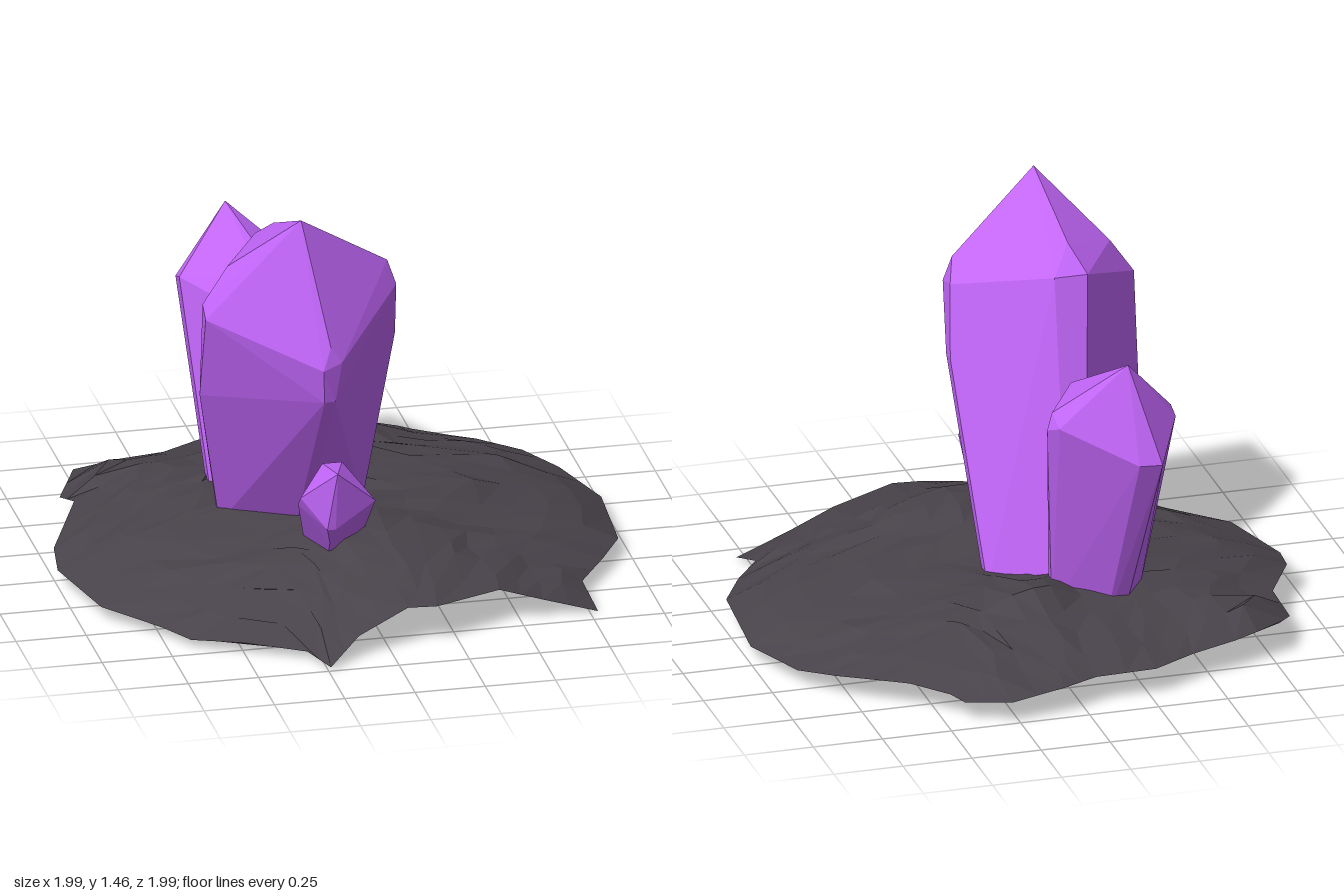
import * as THREE from 'three';
import { ConvexGeometry } from 'three/addons/geometries/ConvexGeometry.js';

const rockMaterial = new THREE.MeshStandardMaterial({ color: 0x48434a, flatShading: true, side: THREE.DoubleSide });
const crystalMaterial = new THREE.MeshStandardMaterial({ color: 0xc266fa, flatShading: true });

// A crystal is the convex hull of its base, waist, shoulder and tip corners
function crystal(name, corners) {
  const geometry = new ConvexGeometry(corners.map(p => new THREE.Vector3(...p)));
  const mesh = new THREE.Mesh(geometry, crystalMaterial);
  mesh.name = name;
  return mesh;
}

// Repeatable noise between -0.5 and 0.5
function noise(a, b) {
  const s = Math.sin(a * 127.1 + b * 311.7) * 43758.5453;
  return s - Math.floor(s) - 0.5;
}

// Ragged rim of the rock: x, z, height
const rim = [
  [0.99, -0.2, 0.05], [0.96, 0.2, 0.06], [0.87, 0.36, 0.06], [0.76, 0.52, 0.05],
  [0.78, 0.68, 0.0], [0.58, 0.7, 0.07], [0.42, 0.72, 0.13], [0.17, 0.84, 0.14], [0.07, 0.83, 0.14],
  [-0.12, 0.9, 0.08], [-0.24, 0.99, 0.01], [-0.3, 0.88, 0.03], [-0.5, 0.78, 0.04], [-0.67, 0.69, 0.03],
  [-0.75, 0.58, 0.04], [-0.92, 0.38, 0.05], [-1, 0.05, 0.06], [-0.98, -0.1, 0.08], [-0.84, -0.4, 0.12],
  [-0.86, -0.54, 0.08], [-0.78, -0.68, 0.12], [-0.6, -0.76, 0.11], [-0.43, -0.81, 0.1], [-0.27, -0.9, 0.1],
  [-0.05, -0.91, 0.1], [0.08, -0.97, 0.1], [0.28, -1, 0.08], [0.43, -0.93, 0.07], [0.5, -0.81, 0.09],
  [0.66, -0.71, 0.09], [0.8, -0.6, 0.08], [0.9, -0.47, 0.06],
];

// Local humps: x, z, height, radius
const humps = [
  [0.1, 0.36, 0.05, 0.22], [0.05, -0.46, 0.08, 0.13], [-0.71, -0.56, 0.06, 0.13],
  [-0.1, 0.52, 0.03, 0.25], [0, -0.15, -0.02, 0.15],
];

// Rim point at a fractional index
function rimAt(u) {
  const a = rim[Math.floor(u) % rim.length], b = rim[(Math.floor(u) + 1) % rim.length];
  return a.map((v, k) => THREE.MathUtils.lerp(v, b[k], u % 1));
}

// Position of a grid cell along the square ring m, from 0 to 8m
function ringPosition(i, j, m) {
  if (i === m) return (j + 8 * m) % (8 * m);
  if (j === m) return 2 * m - i;
  if (i === -m) return 4 * m - j;
  return 6 * m + i;
}

// Thin domed shell of rock: a square grid fitted to the rim
function rockBase() {
  const half = 8, side = 2 * half + 1, pos = [], index = [];
  for (let i = -half; i <= half; i++) {
    for (let j = -half; j <= half; j++) {
      const m = Math.max(Math.abs(i), Math.abs(j)), t = m / half;
      const [rx, rz, ry] = rimAt(m ? ringPosition(i, j, m) * rim.length / (8 * m) : 0);
      const jitter = m < half ? 1 : 0;
      const x = rx * t + jitter * noise(i, j) * 0.04;
      const z = rz * t + jitter * noise(i + 40, j) * 0.04;
      let y = ry + (0.22 - ry) * (1 - t ** 2.8) + jitter * noise(i + 80, j) * 0.022;
      for (const [hx, hz, h, s] of humps) {
        y += (1 - t ** 6) * h * Math.exp(-((x - hx) ** 2 + (z - hz) ** 2) / (s * s));
      }
      pos.push(x, y, z);
    }
  }
  for (let i = 0; i < side - 1; i++) {
    for (let j = 0; j < side - 1; j++) {
      const a = i * side + j, b = a + 1, c = a + side, d = c + 1;
      // Turn the diagonal so that corner cells do not collapse
      if ((i < half) === (j < half)) index.push(a, b, c, b, d, c);
      else index.push(a, b, d, a, d, c);
    }
  }
  const geometry = new THREE.BufferGeometry();
  geometry.setAttribute('position', new THREE.Float32BufferAttribute(pos, 3));
  geometry.setIndex(index);
  geometry.computeVertexNormals();
  const mesh = new THREE.Mesh(geometry, rockMaterial);
  mesh.name = 'rockBase';
  return mesh;
}

export function createModel() {
  const group = new THREE.Group();
  group.name = 'crystalCluster';
  group.add(rockBase());

  // Tall crystal leaning forward
  group.add(crystal('largeCrystal', [
    [-0.22, 1.46, 0.43], [-0.24, 1.31, 0.08],
    [-0.18, 0.96, 0.61], [-0.11, 0.98, 0.59], [-0.15, 1.04, 0.59],
    [-0.53, 1.06, 0.3], [-0.53, 1.1, 0.25], [-0.44, 1.23, 0.24],
    [0.15, 1.13, 0.29], [0.15, 1.15, 0.2], [0.12, 1.22, 0.28],
    [-0.28, 1.23, -0.03], [-0.16, 1.23, -0.03],
    [-0.17, 0.83, 0.58], [-0.13, 0.83, 0.575],
    [-0.52, 0.72, 0.16], [0.17, 0.9, 0.18], [0.17, 0.9, 0.13],
    [-0.17, 0.07, 0.04], [-0.14, 0.07, 0.04], [-0.4, 0.14, -0.06], [-0.4, 0.15, -0.09],
    [0.12, 0.14, -0.12], [0.12, 0.15, -0.16], [-0.19, 0.22, -0.3], [-0.13, 0.22, -0.3],
  ]));

  // Medium crystal leaning back
  group.add(crystal('mediumCrystal', [
    [-0.26, 1.12, -0.59],
    [-0.2, 0.96, -0.32], [-0.14, 0.95, -0.3], [-0.16, 0.83, -0.25], [-0.3, 0.85, -0.29],
    [-0.03, 0.88, -0.53], [0, 0.86, -0.48], [-0.02, 0.92, -0.47],
    [-0.45, 0.88, -0.53], [-0.45, 0.9, -0.47],
    [-0.35, 0.78, -0.71], [-0.27, 0.78, -0.7],
    [-0.18, 0.18, -0.21], [-0.24, 0.18, -0.21], [-0.07, 0.12, -0.26], [-0.07, 0.1, -0.3],
    [-0.38, 0.12, -0.26], [-0.38, 0.1, -0.3], [-0.29, 0.05, -0.4], [-0.23, 0.05, -0.4],
  ]));

  // Small crystal at the front
  group.add(crystal('smallCrystal', [
    [-0.13, 0.57, 0.61], [-0.14, 0.53, 0.41], [-0.07, 0.53, 0.41],
    [-0.24, 0.45, 0.51], [-0.24, 0.41, 0.47], [0.02, 0.43, 0.54], [0.02, 0.42, 0.47],
    [-0.16, 0.35, 0.58], [-0.13, 0.35, 0.58], [-0.14, 0.28, 0.53], [0.02, 0.28, 0.38],
    [-0.1, 0.05, 0.27], [-0.07, 0.05, 0.27], [0.02, 0.09, 0.2], [0.02, 0.13, 0.16],
    [-0.15, 0.1, 0.21], [-0.15, 0.14, 0.17], [-0.08, 0.19, 0.1], [-0.04, 0.19, 0.1],
  ]));
  return group;
}
